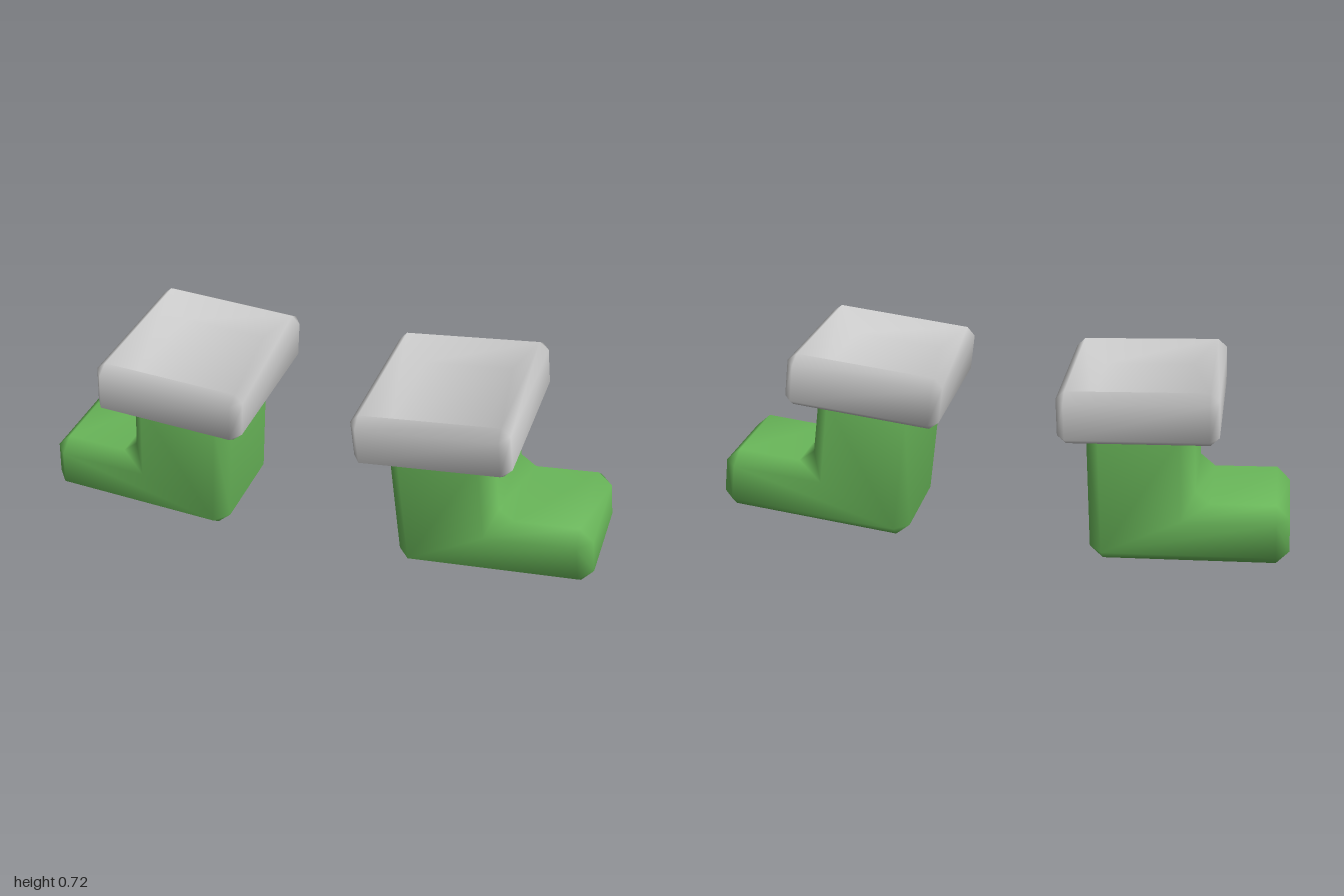
import * as THREE from 'three';
import { mergeVertices } from 'three/addons/utils/BufferGeometryUtils.js';

// Skins rings of [x, y] points (counter-clockwise) stacked along z.
// Points come in pairs, one pair per corner; the end rings have sharp corners.
function loft(rings) {
  const n = rings[0].points.length;
  const positions = [];
  const index = [];
  rings.forEach(({ z, points }) => points.forEach(([x, y]) => positions.push(x, y, z)));
  for (let r = 0; r < rings.length - 1; r++) {
    for (let j = 0; j < n; j++) {
      const a = r * n + j, b = r * n + (j + 1) % n;
      index.push(a, b, b + n, a, b + n, a + n);
    }
  }
  // end caps
  [0, rings.length - 1].forEach((r) => {
    const corners = rings[r].points.filter((p, i) => i % 2 === 0).map(([x, y]) => new THREE.Vector2(x, y));
    for (const [a, b, c] of THREE.ShapeUtils.triangulateShape(corners, [])) {
      const tri = [a, b, c].map((k) => r * n + k * 2);
      index.push(...(r === 0 ? tri.reverse() : tri));
    }
  });
  const raw = new THREE.BufferGeometry();
  raw.setAttribute('position', new THREE.Float32BufferAttribute(positions, 3));
  raw.setIndex(index);
  const geometry = mergeVertices(raw, 1e-4);
  geometry.computeVertexNormals();
  return geometry;
}

const doubled = (corners) => corners.flatMap((p) => [p, p]);

// L-shaped boot with bevelled edges, heel at the origin and toe along +x
function bootGeometry() {
  const side = doubled([[0, 0.045], [0.592, 0.045], [0.592, 0.17], [0.275, 0.17], [0.275, 0.475], [0, 0.475]]);
  const outline = [
    [-0.045, 0.045], [0, 0],
    [0.592, 0], [0.637, 0.045],
    [0.637, 0.165], [0.592, 0.215],
    [0.372, 0.215], [0.322, 0.26],
    [0.32, 0.475], [0.275, 0.52],
    [0, 0.52], [-0.045, 0.475],
  ];
  return loft([
    { z: -0.22, points: side },
    { z: -0.165, points: outline },
    { z: 0.165, points: outline },
    { z: 0.22, points: side },
  ]);
}

// Bevelled cuff block with a sloping recess in its top
function cuffGeometry() {
  const hx = 0.267, hz = 0.318, bx = 0.03, bz = 0.045;
  const rect = (x, z) => doubled([[-x, -z], [x, -z], [x, z], [-x, z]]);
  const outer = [
    [-hx, -hz + bz], [-hx + bx, -hz], [hx - bx, -hz], [hx, -hz + bz],
    [hx, hz - bz], [hx - bx, hz], [-hx + bx, hz], [-hx, hz - bz],
  ];
  return loft([
    { z: 0, points: rect(hx - bx, hz - bz) },
    { z: 0.028, points: outer },
    { z: 0.155, points: outer },
    { z: 0.183, points: rect(hx - bx, hz - bz) },
    { z: 0.113, points: rect(hx - 0.11, hz - 0.12) },
  ]).rotateX(-Math.PI / 2);
}

export function createModel() {
  const model = new THREE.Group();
  const green = new THREE.MeshStandardMaterial({ color: 0x6ab85a });
  const grey = new THREE.MeshStandardMaterial({ color: 0xcccccc });
  const bootGeo = bootGeometry();
  const cuffGeo = cuffGeometry();

  // Each boot points outward and tips its toe up a little
  const addBoot = (name, turn, tilt, lift) => {
    const side = new THREE.Group();
    side.name = name;
    side.rotation.y = turn;
    const tipped = new THREE.Group();
    tipped.position.set(0.37, lift, 0);
    tipped.rotation.z = THREE.MathUtils.degToRad(tilt);
    const boot = new THREE.Mesh(bootGeo, green);
    boot.name = 'boot';
    const cuff = new THREE.Mesh(cuffGeo, grey);
    cuff.name = 'cuff';
    cuff.position.set(0.14, 0.473, 0);
    tipped.add(boot, cuff);
    side.add(tipped);
    model.add(side);
  };
  addBoot('leftBoot', 0, 7, 0.03);
  addBoot('rightBoot', Math.PI, 3, 0.003);
  return model;
}
